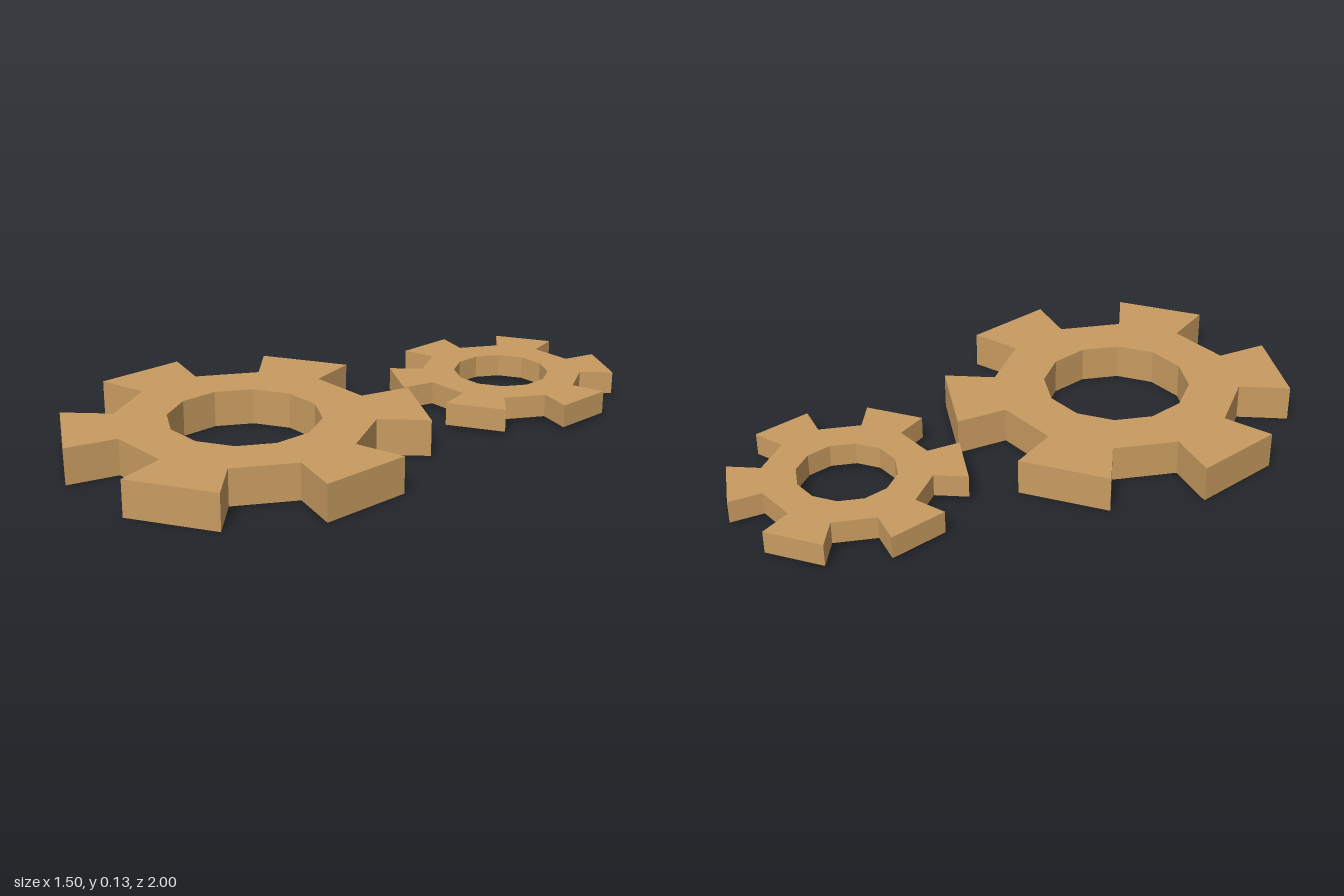
import * as THREE from 'three';

const STEPS = 12; // twelve 30 degree sectors: six teeth and six gaps

const polar = (radius, i) => {
  const a = (i / STEPS) * Math.PI * 2;
  return new THREE.Vector2(radius * Math.cos(a), radius * Math.sin(a));
};

// Flat gear ring: each even sector is a tooth, each odd one a gap
function makeGear(name, material, { tip, root, bore, bottom, top, x, z }) {
  const outline = [];
  const hole = [];
  for (let i = 0; i < STEPS; i++) {
    const radii = i % 2 === 0 ? [root, tip] : [tip, root];
    radii.forEach((r) => outline.push(polar(r, i)));
    hole.push(polar(bore, i));
  }
  const shape = new THREE.Shape(outline);
  shape.holes.push(new THREE.Path(hole));

  const geometry = new THREE.ExtrudeGeometry(shape, { depth: top - bottom, bevelEnabled: false });
  geometry.rotateX(Math.PI / 2); // lay flat, extruding downwards from the top face
  const gear = new THREE.Mesh(geometry, material);
  gear.name = name;
  gear.position.set(x, top, z);
  return gear;
}

export function createModel() {
  const model = new THREE.Group();
  model.name = 'gears';
  const wood = new THREE.MeshStandardMaterial({ color: 0xc89b60 });
  wood.name = 'tan wood';

  model.add(
    makeGear('largeGear', wood, {
      tip: 0.625, root: 0.442, bore: 0.262, bottom: 0, top: 0.128, x: -0.125, z: 0.37,
    }),
    makeGear('smallGear', wood, {
      tip: 0.409, root: 0.29, bore: 0.172, bottom: 0.016, top: 0.097, x: 0.337, z: -0.591,
    }),
  );
  return model;
}
